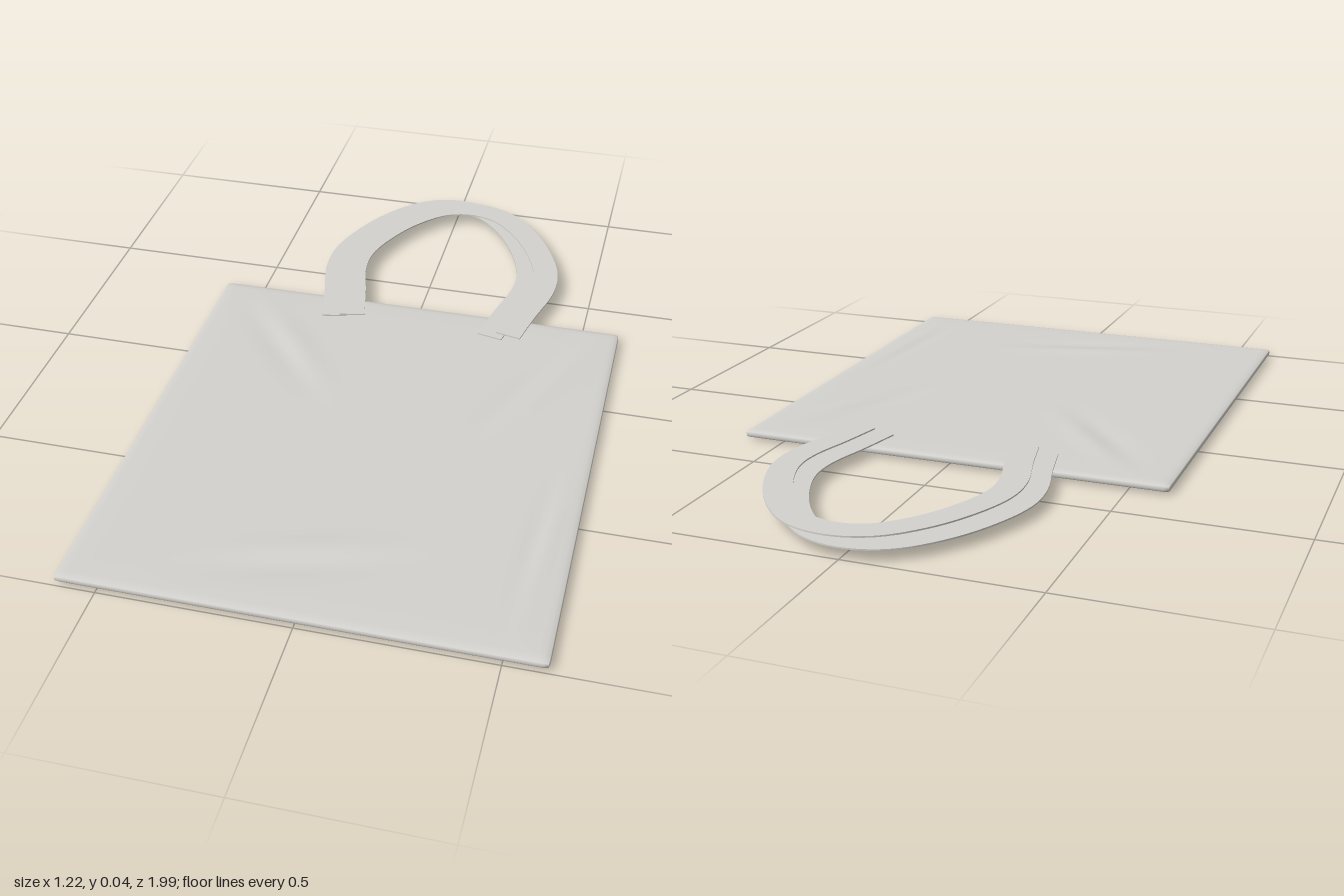
import * as THREE from 'three';
import { mergeVertices } from 'three/addons/utils/BufferGeometryUtils.js';

const fabric = new THREE.MeshStandardMaterial({ color: 0xd3d2ce });
fabric.name = 'pale grey fabric';

// Soft creases: start x, z, end x, z, width, height
const creases = [
  [-0.48, -0.25, -0.18, 0.13, 0.045, 0.005],
  [0.50, -0.22, 0.30, 0.20, 0.045, 0.006],
  [0.55, 0.30, 0.51, 0.85, 0.03, 0.004],
  [-0.28, 0.86, 0.20, 0.72, 0.05, 0.006],
];

// Each crease is a ridge beside a matching trough, fading at both ends
function creaseHeight(x, z) {
  let h = 0;
  for (const [x0, z0, x1, z1, width, height] of creases) {
    const dx = x1 - x0, dz = z1 - z0, len = Math.hypot(dx, dz);
    const along = ((x - x0) * dx + (z - z0) * dz) / (len * len) - 0.5;
    const across = ((x - x0) * dz - (z - z0) * dx) / (len * width);
    h += height * 1.6 * across * Math.exp(-across * across - 6 * along * along);
  }
  return h;
}

// Flat bag lying down, with rounded edges and creased faces
function makeBag() {
  const half = [0.61, 0.01, 0.672], r = 0.009;
  let g = new THREE.BoxGeometry(1.22, 0.02, 1.344, 80, 4, 88);
  g.deleteAttribute('uv');
  g.deleteAttribute('normal');
  g = mergeVertices(g, 1e-5);
  const pos = g.attributes.position;
  const p = new THREE.Vector3(), core = new THREE.Vector3();
  const limit = new THREE.Vector3(half[0] - r, half[1] - r, half[2] - r);
  for (let i = 0; i < pos.count; i++) {
    p.fromBufferAttribute(pos, i);
    core.copy(p).clamp(limit.clone().negate(), limit);
    p.sub(core).setLength(r).add(core);
    const fade = Math.min(1, (half[0] - Math.abs(p.x)) / 0.08, (half[2] - Math.abs(p.z)) / 0.08);
    // Slight fullness, so the middle is a little thicker than the rim
    p.y += Math.sign(p.y) * 0.0015 * Math.max(0, fade);
    p.y += creaseHeight(p.x, p.z + 0.323) * Math.max(0, fade);
    pos.setXYZ(i, p.x, p.y + 0.0155, p.z + 0.323);
  }
  g.computeVertexNormals();
  return g;
}

// Flat ribbon following a mirrored arch
function makeStrap(stretch) {
  const side = [[0.238, 0.24], [0.264, 0.36], [0.296, 0.49], [0.294, 0.60], [0.25, 0.72], [0.185, 0.825], [0.1, 0.906]];
  const points = [...side, [0, 0.933], ...side.slice().reverse().map(([x, y]) => [-x, y])]
    .map(([x, y]) => new THREE.Vector2(x, 0.24 + (y - 0.24) * stretch));
  const curve = new THREE.SplineCurve(points);
  const outer = [], inner = [], w = 0.0375;
  for (let i = 0; i <= 72; i++) {
    const p = curve.getPoint(i / 72), t = curve.getTangent(i / 72);
    outer.push(new THREE.Vector2(p.x + t.y * w, p.y - t.x * w));
    inner.push(new THREE.Vector2(p.x - t.y * w, p.y + t.x * w));
  }
  const shape = new THREE.Shape([...outer, ...inner.reverse()]);
  const g = new THREE.ExtrudeGeometry(shape, { depth: 0.004, bevelEnabled: false });
  return g.rotateX(-Math.PI / 2);
}

export function createModel() {
  const model = new THREE.Group();
  model.name = 'toteBag';
  const add = (name, geometry, x = 0, y = 0) => {
    const mesh = new THREE.Mesh(geometry, fabric);
    mesh.name = name;
    mesh.position.set(x, y, 0);
    model.add(mesh);
  };
  add('bagBody', makeBag());
  add('lowerHandle', makeStrap(1.042), 0, 0.0275);
  add('upperHandle', makeStrap(1), 0.055, 0.04);
  return model;
}
